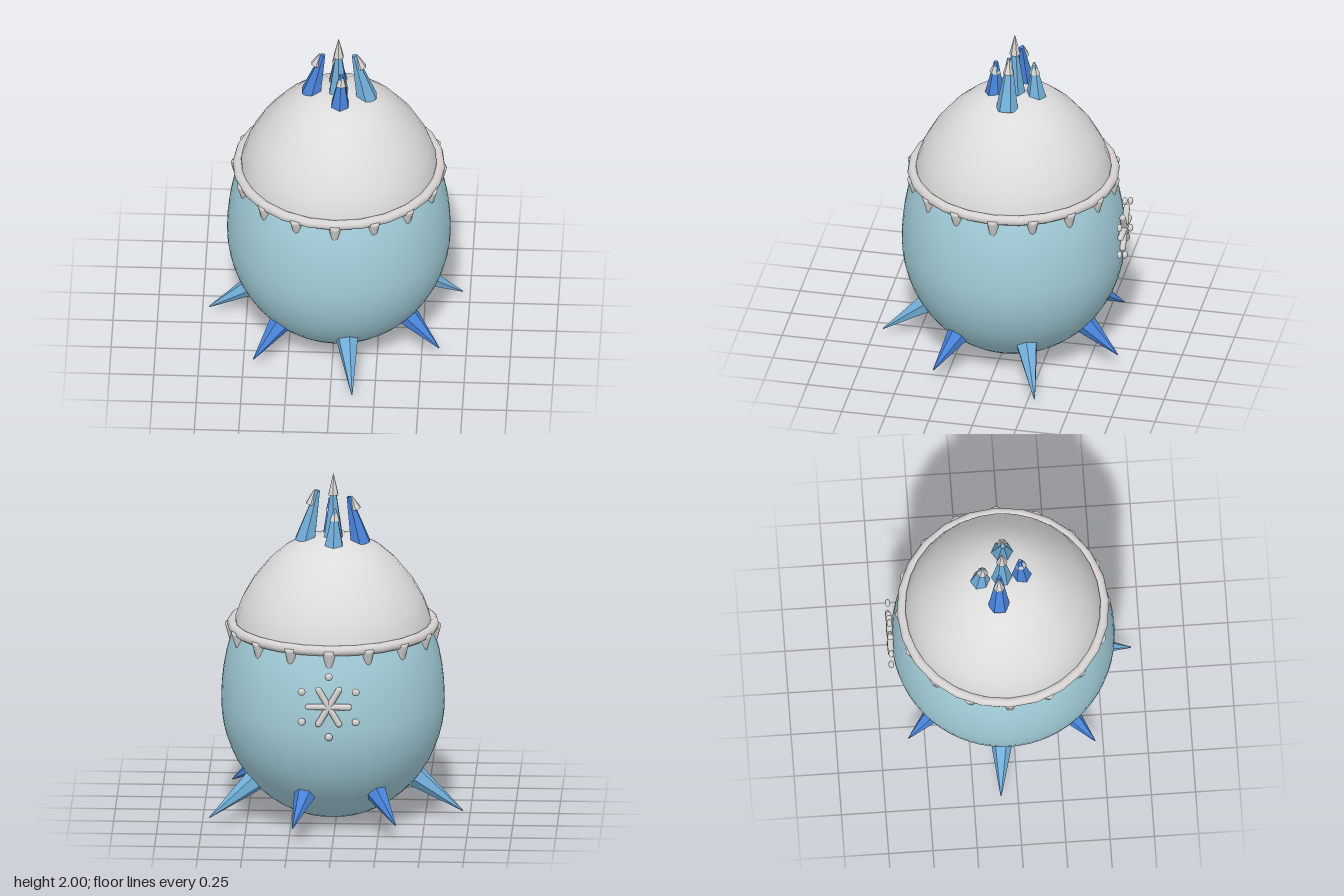
import * as THREE from 'three';

const mat = (name, color) => {
  const m = new THREE.MeshStandardMaterial({ color });
  m.name = name;
  return m;
};

export function createModel() {
  const shell = mat('pale blue shell', 0xa2cdd9);
  const snow = mat('snow white', 0xdcdcdc);
  const frost = mat('frost grey', 0xd6d3d2);
  const light = mat('light ice', 0x72afda);
  const dark = mat('deep ice', 0x4983d9);

  const model = new THREE.Group();
  model.name = 'icyEgg';
  // everything round shares one slightly offset axis
  const body = new THREE.Group();
  body.name = 'body';
  body.position.set(0.022, 0, -0.035);
  model.add(body);

  const add = (parent, name, geometry, material) => {
    const m = new THREE.Mesh(geometry, material);
    m.name = name;
    parent.add(m);
    return m;
  };

  // tapered faceted shard running from a base point to a tip point
  const up = new THREE.Vector3(0, 1, 0);
  const shard = (parent, name, base, tip, r0, r1, material, sides = 6) => {
    const a = new THREE.Vector3(...base);
    const d = new THREE.Vector3(...tip).sub(a);
    const g = new THREE.CylinderGeometry(r1, r0, d.length(), sides).toNonIndexed();
    g.computeVertexNormals();
    const m = add(parent, name, g, material);
    m.quaternion.setFromUnitVectors(up, d.clone().normalize());
    m.position.copy(a).addScaledVector(d, 0.5);
    return m;
  };

  // egg: a short ellipse below the widest line, a taller one above it
  const eggPoints = [];
  for (let i = 0; i <= 30; i++) {
    const t = -Math.PI / 2 + (i / 30) * Math.PI;
    const h = t < 0 ? 0.675 : 0.92;
    eggPoints.push(new THREE.Vector2(Math.max(0, 0.63 * Math.cos(t)), 0.68 + h * Math.sin(t)));
  }
  add(body, 'egg', new THREE.LatheGeometry(eggPoints, 64), shell);

  // snow cap
  const capPoints = [[0.553, 1.1], [0.55, 1.16], [0.515, 1.26], [0.453, 1.37], [0.36, 1.485],
    [0.275, 1.56], [0.19, 1.608], [0.09, 1.631], [0, 1.636]].map(p => new THREE.Vector2(...p));
  add(body, 'snowCap', new THREE.LatheGeometry(capPoints, 32), snow);

  // rim around the cap
  const rim = add(body, 'capRim', new THREE.TorusGeometry(0.57, 0.029, 10, 24), frost);
  rim.rotation.x = Math.PI / 2;
  rim.position.y = 1.12;

  // icicles hanging from the rim
  const lengths = [0.175, 0.135, 0.155, 0.135];
  for (let i = 0; i < 16; i++) {
    const L = lengths[i % 4];
    const profile = [[0, -L], [0.009, -L + 0.008], [0.024, -L * 0.55], [0.034, -L * 0.15], [0.036, 0], [0, 0]]
      .map(p => new THREE.Vector2(...p));
    const tooth = new THREE.Group();
    tooth.name = 'icicle';
    tooth.rotation.y = (i * Math.PI) / 8;
    const m = add(tooth, 'icicleCone', new THREE.LatheGeometry(profile, 8), frost);
    m.position.set(0, 1.125, 0.574);
    m.rotation.x = 0.12;
    body.add(tooth);
  }

  // seven ice spikes around the base, alternating colours
  for (let i = 0; i < 7; i++) {
    const a = THREE.MathUtils.degToRad(-146.2 + (i * 360) / 7);
    const big = i % 2 === 1;
    const [tr, ty] = big ? [0.737, 0.045] : [0.673, 0.098];
    const s = Math.sin(a), c = Math.cos(a);
    shard(body, 'baseSpike', [0.435 * s, 0.265, 0.435 * c], [tr * s, ty, tr * c],
      0.072, 0.003, big ? light : dark);
  }

  // crystal crown: shard base, shard top, shard radii, tip base, tip apex
  const crown = [
    [light, [0.02, 1.6, -0.042], [0.02, 2, -0.042], 0.064, 0.001, [0.02, 1.875, -0.042], [0.02, 1.985, -0.042]],
    [dark, [-0.135, 1.6, -0.068], [-0.068, 1.87, -0.062], 0.062, 0.014, [-0.108, 1.8, -0.066], [-0.085, 1.872, -0.066]],
    [light, [0.18, 1.6, -0.03], [0.108, 1.895, -0.03], 0.064, 0.014, [0.148, 1.815, -0.03], [0.124, 1.898, -0.03]],
    [dark, [0.032, 1.6, 0.07], [0.04, 1.825, 0.062], 0.06, 0.012, [0.038, 1.755, 0.068], [0.043, 1.825, 0.064]],
    [light, [0.013, 1.6, -0.162], [0.008, 1.81, -0.152], 0.06, 0.012, [0.008, 1.755, -0.153], [0.006, 1.825, -0.15]],
  ];
  for (const [m, b, t, r0, r1, tb, ta] of crown) {
    shard(model, 'crownCrystal', b, t, r0, r1, m);
    shard(model, 'crystalTip', tb, ta, 0.032, 0.005, frost);
  }

  // snowflake on the back: three crossed bars and six beads
  const flake = new THREE.Group();
  flake.name = 'snowflake';
  flake.position.set(0.022, 0.812, -0.674);
  for (let i = 0; i < 3; i++) {
    const bar = add(flake, 'snowflakeBar', new THREE.CapsuleGeometry(0.018, 0.23, 4, 10), frost);
    bar.rotation.z = Math.PI / 2 + (i * Math.PI) / 3;
  }
  for (let i = 0; i < 6; i++) {
    const a = Math.PI / 6 + (i * Math.PI) / 3;
    const bead = add(flake, 'snowflakeBead', new THREE.SphereGeometry(0.022, 12, 8), frost);
    bead.position.set(0.176 * Math.cos(a), 0.176 * Math.sin(a), -0.002);
    bead.scale.z = 0.7;
  }
  model.add(flake);

  return model;
}
